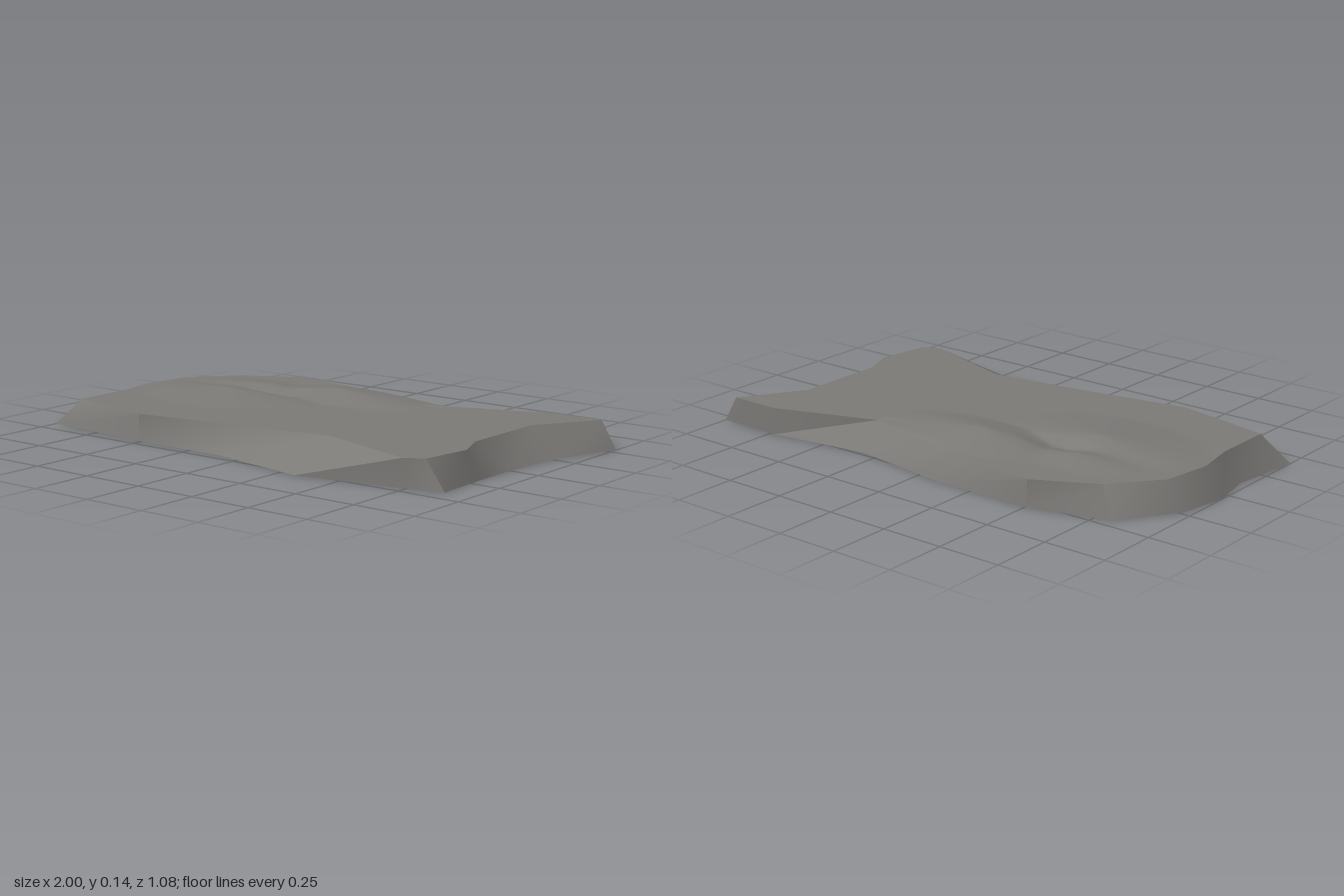
import * as THREE from 'three';
import { toCreasedNormals } from 'three/addons/utils/BufferGeometryUtils.js';

const TOP = 0.107;

// Matching [x, z] corners of the foot and the upper rim, clockwise from above
const foot = [
  [-1, 0.42], [-0.965, 0.13], [-1, -0.04], [-0.965, -0.235], [-0.815, -0.45], [-0.51, -0.54],
  [-0.1, -0.54], [0.32, -0.48], [0.73, -0.54], [1, -0.54], [0.91, -0.3], [0.88, -0.03],
  [0.88, 0.2], [0.89, 0.42], [0.74, 0.455], [0.32, 0.535], [-0.1, 0.455], [-0.51, 0.455],
];
const rim = [
  [-0.895, 0.375], [-0.895, 0.13], [-0.925, -0.04], [-0.895, -0.235], [-0.745, -0.415], [-0.51, -0.54],
  [-0.1, -0.485], [0.32, -0.395], [0.73, -0.54], [0.935, -0.54], [0.78, -0.295], [0.78, 0.075],
  [0.835, 0.21], [0.805, 0.415], [0.735, 0.455], [0.32, 0.325], [-0.1, 0.385], [-0.51, 0.455],
];

// A cone-like bump with a different reach on each side
function bump(x, z, cx, cz, left, right, back, front) {
  const dx = (x - cx) / (x < cx ? left : right);
  const dz = (z - cz) / (z < cz ? back : front);
  return Math.max(0, 1 - Math.hypot(dx, dz));
}

// Two low ridges with a crevice between them
function height(x, z) {
  const ridges = Math.max(
    0.03 * bump(x, z, -0.5, -0.07, 0.42, 0.42, 0.14, 0.28),
    0.038 * bump(x, z, -0.12, -0.29, 0.32, 0.44, 0.2, 0.17),
    0.022 * bump(x, z, -0.5, -0.25, 0.3, 0.2, 0.15, 0.1));
  const crevice = 0.02 * bump(x, z, -0.42, -0.19, 0.15, 0.25, 0.09, 0.07);
  return TOP + ridges - crevice;
}

function fromTriangles(positions) {
  const g = new THREE.BufferGeometry();
  g.setAttribute('position', new THREE.Float32BufferAttribute(positions, 3));
  return toCreasedNormals(g, 0.65);
}

// Sloping sides between foot and rim
function sideGeometry() {
  const out = [];
  foot.forEach((f, i) => {
    const j = (i + 1) % foot.length;
    const b0 = [f[0], 0, f[1]], b1 = [foot[j][0], 0, foot[j][1]];
    const t0 = [rim[i][0], TOP, rim[i][1]], t1 = [rim[j][0], TOP, rim[j][1]];
    out.push(...b1, ...b0, ...t0, ...b1, ...t0, ...t1);
  });
  return fromTriangles(out);
}

// Upper surface: rings shrinking from the rim to a centre, raised by the height rule
function topGeometry() {
  const RINGS = 26, SPLIT = 5, cx = -0.2, cz = -0.12;
  const edge = [];
  rim.forEach((p, i) => {
    const q = rim[(i + 1) % rim.length];
    for (let k = 0; k < SPLIT; k++) {
      const t = k / SPLIT;
      edge.push([p[0] + (q[0] - p[0]) * t, p[1] + (q[1] - p[1]) * t]);
    }
  });
  const point = (i, r) => {
    const s = r / RINGS, e = edge[i % edge.length];
    const x = cx + (e[0] - cx) * s, z = cz + (e[1] - cz) * s;
    return [x, r === RINGS ? TOP : height(x, z), z];
  };
  const out = [];
  for (let i = 0; i < edge.length; i++) {
    for (let r = 0; r < RINGS; r++) {
      const a = point(i, r), b = point(i + 1, r), c = point(i + 1, r + 1), d = point(i, r + 1);
      out.push(...a, ...c, ...d);
      if (r > 0) out.push(...a, ...b, ...c);
    }
  }
  return fromTriangles(out);
}

export function createModel() {
  const group = new THREE.Group();
  group.name = 'rockSlab';
  const stone = new THREE.MeshStandardMaterial({ color: 0x7c7a77 });
  stone.name = 'grey stone';

  const add = (name, geometry) => {
    const mesh = new THREE.Mesh(geometry, stone);
    mesh.name = name;
    group.add(mesh);
  };

  // Flat underside facing down
  const outline = new THREE.Shape(foot.map(([x, z]) => new THREE.Vector2(x, z)));
  add('underside', new THREE.ShapeGeometry(outline).rotateX(Math.PI / 2));
  add('slopingSides', sideGeometry());
  add('upperSurface', topGeometry());
  return group;
}
